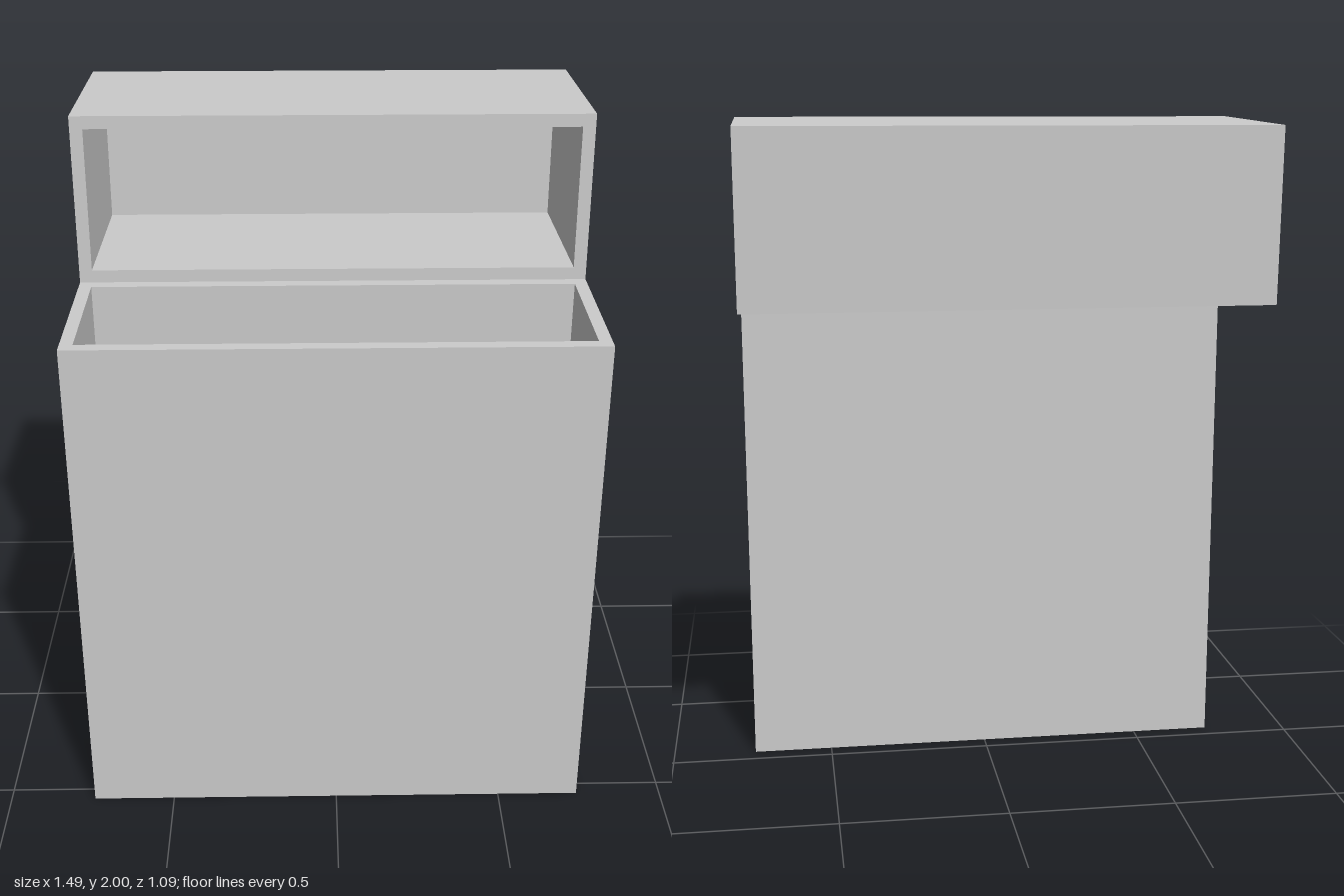
import * as THREE from 'three';

const WIDTH = 1.486, DEPTH = 0.492, WALL = 0.037;
const HINGE_Y = 1.51, HINGE_Z = 0.053;

// Hollow open-topped box: rim at y = 0, centred on x and z, built from rectangular loops
function openBox(width, height, depth, wall) {
  const loop = (inset, y) => {
    const x = width / 2 - inset, z = depth / 2 - inset;
    return [[-x, y, z], [x, y, z], [x, y, -z], [-x, y, -z]];
  };
  // outer base, outer rim, inner rim, inner floor
  const loops = [loop(0, -height), loop(0, 0), loop(wall, 0), loop(wall, wall - height)];
  const points = [];
  const quad = (a, b, c, d) => points.push(...a, ...b, ...c, ...a, ...c, ...d);
  for (let i = 0; i < 3; i++) {
    for (let j = 0; j < 4; j++) {
      const k = (j + 1) % 4;
      quad(loops[i][j], loops[i][k], loops[i + 1][k], loops[i + 1][j]);
    }
  }
  quad(...loops[3]);
  quad(...[...loops[0]].reverse());
  const geometry = new THREE.BufferGeometry();
  geometry.setAttribute('position', new THREE.Float32BufferAttribute(points, 3));
  geometry.computeVertexNormals();
  return geometry;
}

export function createModel() {
  const model = new THREE.Group();
  model.name = 'openCase';
  const material = new THREE.MeshStandardMaterial({ color: 0xcccccc, flatShading: true });

  // Tall container, its back rim edge on the hinge line
  const container = new THREE.Mesh(openBox(WIDTH, HINGE_Y, DEPTH, WALL), material);
  container.name = 'container';
  container.position.set(0, HINGE_Y, HINGE_Z + DEPTH / 2);
  model.add(container);

  // Lid swung back about the hinge, its opening facing forward and slightly up
  const hinge = new THREE.Group();
  hinge.name = 'lidHinge';
  hinge.position.set(0, HINGE_Y, HINGE_Z);
  hinge.rotation.x = Math.PI / 2 - 0.031;
  const lid = new THREE.Mesh(openBox(WIDTH, 0.58, DEPTH, WALL), material);
  lid.name = 'lid';
  lid.position.z = -DEPTH / 2;
  hinge.add(lid);
  model.add(hinge);

  return model;
}
